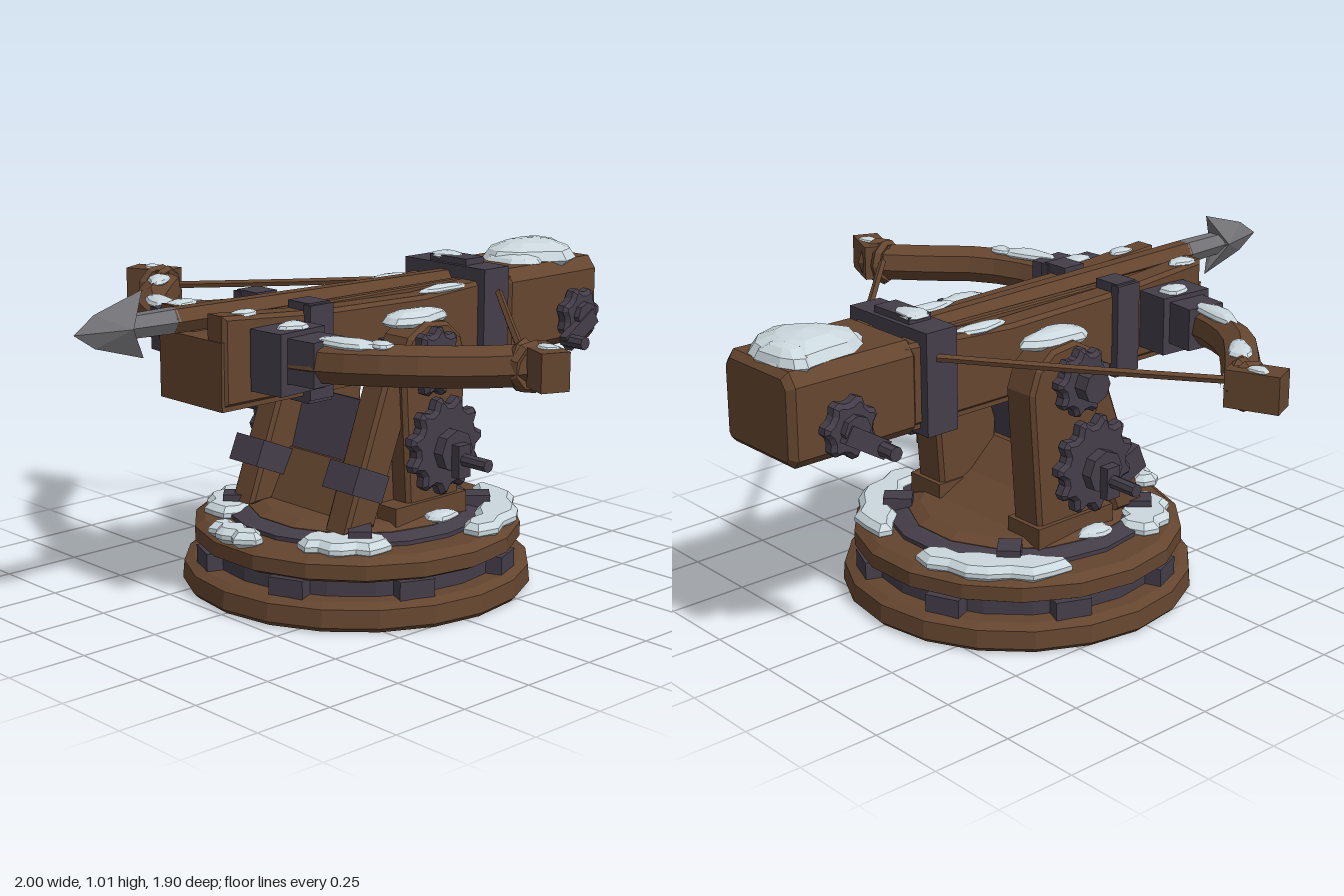
import * as THREE from 'three';

export function createModel() {
  const root = new THREE.Group();
  root.name = 'snowyBallista';
  const mat = (name, color) => {
    const m = new THREE.MeshStandardMaterial({ color, flatShading: true });
    m.name = name;
    return m;
  };
  const wood = mat('wood', 0x64452f), iron = mat('iron', 0x443d49);
  const snow = mat('snow', 0xcbd8de), steel = mat('steel', 0x737276);
  const V = (x, y, z) => new THREE.Vector3(x, y, z);

  const add = (name, geo, material, x = 0, y = 0, z = 0, rx = 0, ry = 0, rz = 0) => {
    const m = new THREE.Mesh(geo, material);
    m.name = name;
    m.position.set(x, y, z);
    m.rotation.set(rx, ry, rz);
    root.add(m);
    return m;
  };
  const box = (name, material, w, h, d, x, y, z, rx, ry, rz) =>
    add(name, new THREE.BoxGeometry(w, h, d), material, x, y, z, rx, ry, rz);
  // Bevelled plate cut from a shape, centred on its depth
  const plate = (shape, depth, bevel = 0.012) => {
    const g = new THREE.ExtrudeGeometry(shape, {
      depth: depth - 2 * bevel, bevelEnabled: bevel > 0, bevelThickness: bevel,
      bevelSize: bevel, bevelOffset: -bevel, bevelSegments: 1, curveSegments: 8
    });
    g.translate(0, 0, bevel - depth / 2);
    return g;
  };
  const poly = pts => new THREE.Shape(pts.map(p => new THREE.Vector2(p[0], p[1])));
  const tube = (name, pts, r, material, segs = 8, sides = 7) => add(name,
    new THREE.TubeGeometry(new THREE.CatmullRomCurve3(pts), segs, r, sides, false), material);
  // Turned disc from a radius/height profile
  const disc = (name, pts, material, sides = 20) => add(name,
    new THREE.LatheGeometry(pts.map(p => new THREE.Vector2(p[0], p[1])), sides), material, 0.05, 0, 0);
  // Irregular snow cap: a flattened dome with a wavy outline
  const drift = (x, y, z, rx, h, rz, turn = 0) => {
    const g = new THREE.SphereGeometry(1, 12, 6);
    const p = g.attributes.position;
    for (let i = 0; i < p.count; i++) {
      const a = Math.atan2(p.getZ(i), p.getX(i));
      const k = 1 + 0.1 * Math.sin(3 * a + x * 20) + 0.06 * Math.sin(5 * a + z * 30);
      p.setXYZ(i, p.getX(i) * k * rx, Math.max(p.getY(i), -0.35) * h, p.getZ(i) * k * rz);
    }
    return add('snowDrift', g, snow, x, y, z, 0, turn, 0);
  };
  const gearShape = (r, teeth) => {
    const pts = [];
    for (let i = 0; i < teeth * 4; i++) {
      const a = i / (teeth * 4) * Math.PI * 2, q = i % 4 < 2 ? r : r * 0.84;
      pts.push([Math.cos(a) * q, Math.sin(a) * q]);
    }
    return poly(pts);
  };
  const axle = (name, r, len, x, y, z, material = iron) =>
    add(name, new THREE.CylinderGeometry(r, r, len, 8), material, x, y, z, Math.PI / 2);

  // Round base and turntable
  disc('baseDisc', [[0, 0], [0.53, 0], [0.545, 0.015], [0.54, 0.07], [0.51, 0.085], [0, 0.085]], wood);
  disc('bearingRing', [[0.46, 0.08], [0.46, 0.15]], iron);
  disc('turntable', [[0, 0.135], [0.48, 0.135], [0.51, 0.15], [0.51, 0.195], [0.48, 0.215], [0, 0.215]], wood, 18);
  disc('innerRing', [[0.4, 0.21], [0.4, 0.228], [0.35, 0.24], [0.3, 0.24]], iron, 18);
  disc('platform', [[0.34, 0.21], [0.34, 0.242], [0.3, 0.26], [0, 0.26]], wood, 14);
  for (let i = 0; i < 8; i++) {
    const a = (i + 0.5) * Math.PI / 4;
    box('bearingBlock', iron, 0.06, 0.06, 0.11, 0.05 + Math.cos(a) * 0.475, 0.11, Math.sin(a) * 0.475, 0, -a);
  }
  for (const a of [0.75, 2.3, 3.9, 5.5])
    box('turntableCleat', iron, 0.09, 0.05, 0.07, 0.05 + Math.cos(a) * 0.37, 0.245, Math.sin(a) * 0.37, 0, -a);

  // Snow lying in arcs around the turntable rim
  const snowArc = (from, to, inner, outer) => {
    const outline = [], back = [], n = 8;
    for (let i = 0; i <= n; i++) {
      const a = from + (to - from) * i / n, end = Math.sin(Math.PI * i / n);
      const mid = (inner + outer) / 2, half = (outer - inner) / 2 * (0.45 + 0.55 * Math.sqrt(Math.abs(end)));
      const w = 0.012 * Math.sin(i * 2.3);
      outline.push([Math.cos(a) * (mid + half + w), Math.sin(a) * (mid + half + w)]);
      back.unshift([Math.cos(a) * (mid - half - w), Math.sin(a) * (mid - half - w)]);
    }
    add('rimSnow', plate(poly(outline.concat(back)), 0.05, 0.018), snow, 0.05, 0.225, 0, -Math.PI / 2);
  };
  snowArc(0.15, 1.2, 0.38, 0.5);
  snowArc(1.95, 2.65, 0.32, 0.47);
  snowArc(3.55, 4.2, 0.33, 0.48);
  snowArc(4.85, 6.0, 0.38, 0.5);
  snowArc(2.85, 3.3, 0.42, 0.515);

  // Stand: uprights with round heads, leaning braces, gears and cranks on both sides
  const upright = poly([[0, 0.24], [0.21, 0.24], [0.245, 0.72], [0.22, 0.79], [0.16, 0.84],
    [0.07, 0.85], [0, 0.81], [-0.03, 0.74]]);
  const brace = poly([[-0.24, 0.25], [-0.12, 0.25], [0.05, 0.68], [0.02, 0.76], [-0.06, 0.74]]);
  const web = poly([[-0.15, 0.25], [0.03, 0.25], [0.03, 0.66]]);
  for (const s of [1, -1]) {
    add('upright', plate(upright, 0.12), wood, 0, 0, s * 0.225);
    add('brace', plate(brace, 0.1), wood, 0, 0, s * 0.215);
    add('braceWeb', plate(web, 0.04, 0), wood, 0, 0, s * 0.2);
    box('uprightFoot', wood, 0.3, 0.07, 0.14, 0.08, 0.27, s * 0.23);
    box('braceStrap', iron, 0.13, 0.085, 0.13, -0.155, 0.39, s * 0.215, 0, 0, -0.4);
    drift(0.09, 0.845, s * 0.21, 0.125, 0.035, 0.06);
    add('upperGear', plate(gearShape(0.105, 9), 0.05), iron, 0.075, 0.735, s * 0.31);
    axle('upperHub', 0.05, 0.1, 0.075, 0.735, s * 0.33);
    add('lowerGear', plate(gearShape(0.15, 11), 0.05), iron, 0.07, 0.49, s * 0.355);
    axle('lowerHub', 0.065, 0.14, 0.07, 0.48, s * 0.345);
    axle('crankAxle', 0.02, 0.27, 0.07, 0.46, s * 0.405);
    box('crankBar', iron, 0.05, 0.1, 0.03, 0.07, 0.455, s * 0.43);
    box('pivotBlock', iron, 0.16, 0.14, 0.07, 0.08, 0.72, s * 0.16);
  }
  box('crossPanel', iron, 0.05, 0.2, 0.36, -0.02, 0.49, 0, 0, 0, -0.3);
  add('standWedge', plate(poly([[-0.17, 0.24], [0.26, 0.24], [0.1, 0.32], [0, 0.41], [-0.08, 0.41]]), 0.38, 0), wood);

  // Stock: trough beam with two rails, and a heavier rear block
  box('stockBeam', wood, 1.2, 0.2, 0.28, 0, 0.76, 0);
  for (const s of [1, -1]) {
    add('stockRail', plate(poly([[-0.595, 0.67], [0.6, 0.67], [0.6, 0.92], [0.2, 0.895],
      [-0.2, 0.905], [-0.595, 0.935]]), 0.085), wood, 0, 0, s * 0.105);
    add('innerRail', plate(poly([[-0.56, 0.84], [0.5, 0.84], [0.5, 0.91], [-0.56, 0.91]]), 0.03, 0.005),
      wood, 0, 0, s * 0.055);
  }
  const blockEnd = poly([[-0.14, 0.655], [0.14, 0.655], [0.16, 0.68], [0.16, 0.89], [0.13, 0.93],
    [-0.13, 0.93], [-0.16, 0.89], [-0.16, 0.68]]);
  add('rearBlock', plate(blockEnd, 0.44, 0.02), wood, 0.775, 0, 0, 0, Math.PI / 2);
  drift(0.83, 0.93, 0, 0.165, 0.058, 0.145);
  drift(0.73, 0.93, 0.03, 0.09, 0.025, 0.1);
  drift(0.92, 0.93, -0.04, 0.065, 0.05, 0.1);

  // Iron bands around the stock
  box('rearBand', iron, 0.11, 0.31, 0.35, 0.485, 0.795, 0);
  box('rearBandClasp', iron, 0.08, 0.03, 0.16, 0.485, 0.955, 0);
  drift(0.485, 0.965, -0.04, 0.045, 0.015, 0.06);
  box('frontBandBase', iron, 0.09, 0.03, 0.33, -0.25, 0.655, 0);
  for (const s of [1, -1]) {
    box('frontBandSide', iron, 0.09, 0.28, 0.03, -0.25, 0.79, s * 0.157);
    box('frontBandTop', iron, 0.08, 0.03, 0.09, -0.25, 0.92, s * 0.115);

    // Rear winch wheels and handles
    add('winchWheel', plate(gearShape(0.09, 7), 0.05), iron, 0.84, 0.76, s * 0.205);
    axle('winchHub', 0.045, 0.1, 0.84, 0.76, s * 0.2);
    box('winchArm', iron, 0.15, 0.055, 0.03, 0.81, 0.72, s * 0.24, 0, 0, 0.55);
    axle('winchHandle', 0.022, 0.09, 0.76, 0.69, s * 0.265);

    // Bow arm with its mount, tip and binding
    box('bowMount', iron, 0.18, 0.18, 0.12, -0.41, 0.8, s * 0.205, 0, s * 0.08);
    box('bowMountStrap', iron, 0.13, 0.13, 0.12, -0.4, 0.81, s * 0.3, 0, s * 0.12);
    tube('bowArm', [V(-0.42, 0.8, s * 0.15), V(-0.4, 0.81, s * 0.36), V(-0.31, 0.82, s * 0.56),
      V(-0.18, 0.82, s * 0.7), V(-0.07, 0.825, s * 0.8)], 0.06, wood, 8, 7);
    box('bowTip', wood, 0.085, 0.11, 0.16, -0.065, 0.83, s * 0.86, 0, -s * 0.4);
    for (const [dz, tilt] of [[0.79, 0.3], [0.825, -0.25]])
      add('tipBinding', new THREE.TorusGeometry(0.058, 0.018, 5, 9), wood, -0.07, 0.825, s * dz, 0, tilt);
    tube('bowString', [V(-0.05, 0.835, s * 0.78), V(0.22, 0.85, s * 0.48), V(0.5, 0.87, s * 0.17)],
      0.012, wood, 4, 5);

    // Small snow patches along bow and rails
    drift(-0.4, 0.89, s * 0.215, 0.05, 0.018, 0.04);
    drift(-0.375, 0.868, s * 0.42, 0.04, 0.02, 0.11, s * 0.3);
    drift(-0.06, 0.885, s * 0.87, 0.025, 0.01, 0.035);
    drift(0.3, 0.9, s * 0.12, 0.1, 0.016, 0.03);
    drift(0.06, 0.27, s * 0.36, 0.06, 0.02, 0.04);
  }
  drift(-0.17, 0.875, -0.7, 0.035, 0.018, 0.08, -0.75);
  drift(-0.335, 0.872, 0.51, 0.03, 0.016, 0.04);
  drift(-0.54, 0.93, -0.11, 0.05, 0.014, 0.035);
  drift(-0.49, 0.925, 0.11, 0.045, 0.014, 0.03);

  // Bolt: wooden shaft, steel socket and barbed head
  const rod = (name, r0, r1, x0, x1, y0, y1, material) => add(name,
    new THREE.CylinderGeometry(r1, r0, Math.hypot(x1 - x0, y1 - y0), 6), material,
    (x0 + x1) / 2, (y0 + y1) / 2, 0, 0, 0, Math.atan2(y1 - y0, x1 - x0) - Math.PI / 2);
  rod('boltShaft', 0.04, 0.035, -0.67, 0.45, 0.914, 0.9, wood);
  rod('boltSocket', 0.036, 0.04, -0.84, -0.66, 0.917, 0.914, steel);
  // Barbed blade, thick along its spine and sharp at its edges
  const rim = [[-1, 0.917], [-0.93, 0.965], [-0.765, 1.015], [-0.805, 0.945], [-0.79, 0.917],
    [-0.805, 0.89], [-0.765, 0.82], [-0.93, 0.87]];
  const pos = [];
  rim.forEach((p, i) => {
    const q = rim[(i + 1) % rim.length];
    for (const s of [1, -1]) {
      const a = s > 0 ? q : p, b = s > 0 ? p : q;
      pos.push(a[0], a[1], 0, b[0], b[1], 0, -0.83, 0.917, s * 0.045);
    }
  });
  const head = new THREE.BufferGeometry();
  head.setAttribute('position', new THREE.Float32BufferAttribute(pos, 3));
  head.computeVertexNormals();
  add('boltHead', head, steel);
  return root;
}
